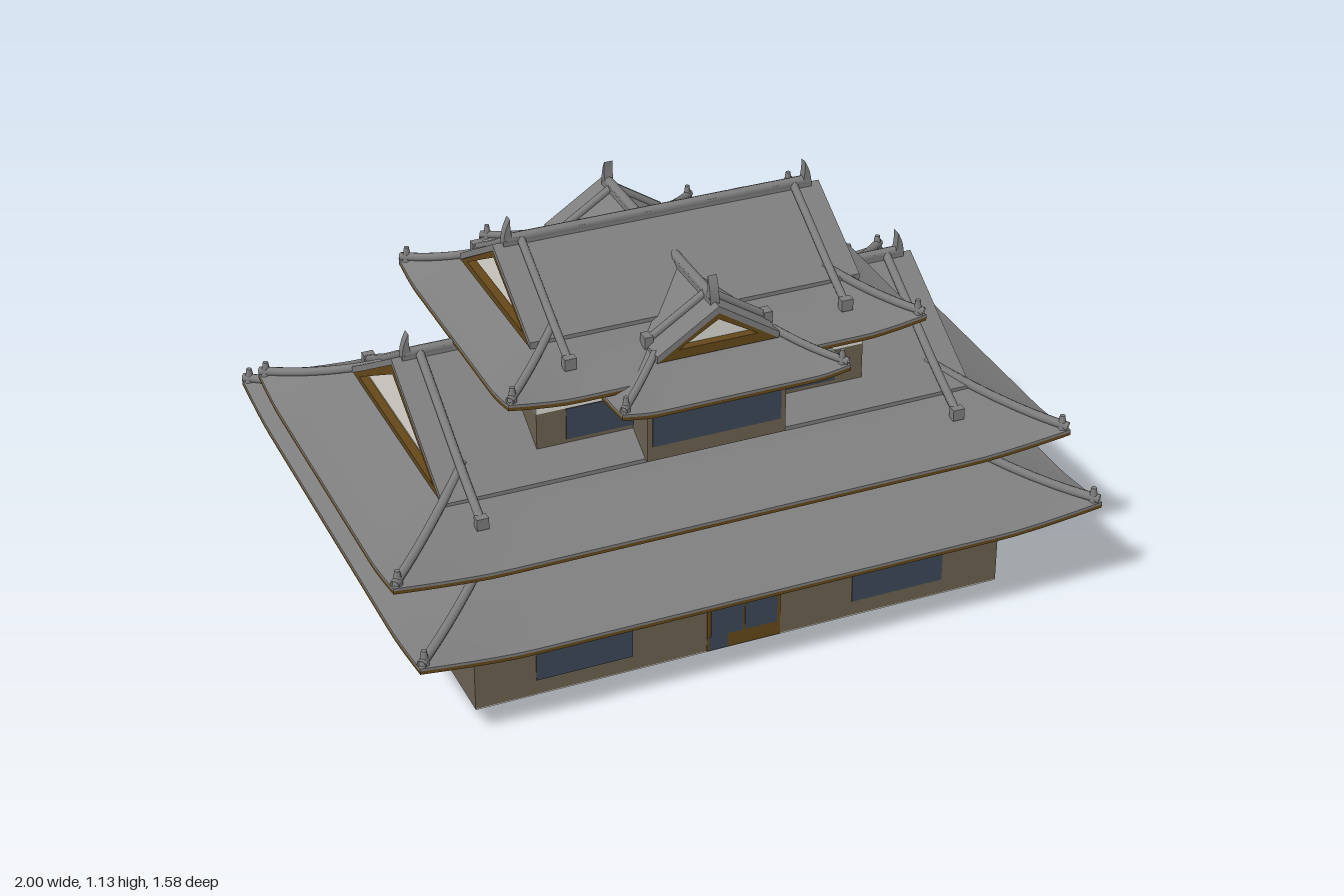
import * as THREE from 'three';

const mat = (name, color, side = THREE.FrontSide) => {
  const m = new THREE.MeshStandardMaterial({ color, side });
  m.name = name;
  return m;
};

export function createModel() {
  const root = new THREE.Group();
  root.name = 'castleKeep';
  const tile = mat('roofTile', 0x7e7e7e, THREE.DoubleSide);
  const wood = mat('darkWood', 0x644819, THREE.DoubleSide);
  const plaster = mat('plaster', 0xdedbd3, THREE.DoubleSide);
  const boards = mat('wallBoards', 0x6b6150);
  const glass = mat('windowBlue', 0x3d4757);

  const add = (parent, name, geo, m, x = 0, y = 0, z = 0) => {
    const mesh = new THREE.Mesh(geo, m);
    mesh.name = name;
    mesh.position.set(x, y, z);
    parent.add(mesh);
    return mesh;
  };
  // box given by its min and max corners
  const block = (name, m, x0, x1, y0, y1, z0, z1) =>
    add(root, name, new THREE.BoxGeometry(x1 - x0, y1 - y0, z1 - z0), m, (x0 + x1) / 2, (y0 + y1) / 2, (z0 + z1) / 2);
  // surface from a rule (u, v) -> point
  const sheet = (fn, nu, nv) => {
    const pos = [], idx = [];
    for (let j = 0; j <= nv; j++)
      for (let i = 0; i <= nu; i++) pos.push(...fn(i / nu, j / nv));
    for (let j = 0; j < nv; j++)
      for (let i = 0; i < nu; i++) {
        const a = j * (nu + 1) + i, b = a + nu + 1;
        idx.push(a, a + 1, b, a + 1, b + 1, b);
      }
    const g = new THREE.BufferGeometry();
    g.setAttribute('position', new THREE.Float32BufferAttribute(pos, 3));
    g.setIndex(idx);
    g.computeVertexNormals();
    return g;
  };
  const tube = (pts, r) => new THREE.TubeGeometry(new THREE.CatmullRomCurve3(pts), 12, r, 8);
  const V = (x, y, z) => new THREE.Vector3(x, y, z);

  // four curved slopes with lifted corners, soffits, eave strips and hip ridges
  const rise = (o, t) => o.y0 + (o.y1 - o.y0) * (0.75 * t + 0.25 * t * t);
  const corner = s => Math.max(0, (Math.abs(s) - 0.7) / 0.3) ** 1.4;
  function skirt(g, o) {
    const pt = (s, t, a, b) => [s * (a - o.inset * t), rise(o, t) + o.lift * corner(s) * (1 - t) ** 2, b - o.inset * t];
    for (let k = 0; k < 4; k++) {
      const side = new THREE.Group();
      side.name = 'roofSlope';
      side.rotation.y = k * Math.PI / 2;
      g.add(side);
      const [a, b] = k % 2 ? [o.D, o.L] : [o.L, o.D];
      const slope = sheet((u, v) => pt(u * 2 - 1, v, a, b), 30, 6);
      add(side, 'roofSurface', slope, tile);
      add(side, 'soffit', slope, plaster, 0, -0.01, -0.001);
      const strip = (top, bottom) => sheet((u, v) => {
        const p = pt(u * 2 - 1, 0, a, b);
        p[1] -= v ? top : bottom;
        return p;
      }, 30, 1);
      add(side, 'eaveTiles', strip(0, 0.008), tile);
      add(side, 'eaveBoard', strip(0.008, 0.018), wood);
      const hip = [0, 0.25, 0.5, 0.75, 0.97].map(t => {
        const p = pt(1, t, a, b);
        return V(p[0] - 0.005, p[1] + 0.008, p[2] - 0.005);
      });
      add(side, 'hipRidge', tube(hip, o.r), tile);
      add(side, 'cornerFinial', new THREE.CylinderGeometry(o.r * 0.6, o.r * 1.2, 0.046, 8), tile, a - 0.018, hip[0].y + 0.01, b - 0.018);
    }
  }

  // hip-and-gable roof, ridge along x
  function gableRoof(name, o) {
    const g = new THREE.Group();
    g.name = name;
    root.add(g);
    skirt(g, o);
    const zi = o.D - o.inset;
    const height = z => z < zi ? o.yr + (o.y1 - o.yr) * z / zi : rise(o, (o.D - z) / o.inset);
    // upper slab
    const zs = [0, zi / 2, zi, o.gz];
    const top = zs.map(z => [z, height(z) + 0.012]), low = zs.map(z => [z, height(z) - 0.008]).reverse();
    const half = [...top, ...low];
    for (const d of [1, -1]) {
      const shape = new THREE.Shape(half.map(p => new THREE.Vector2(d * p[0], p[1])));
      const slab = add(g, 'gableSlope', new THREE.ExtrudeGeometry(shape, { depth: 2 * o.gx, bevelEnabled: false }), tile, -o.gx);
      slab.rotation.y = Math.PI / 2;
    }
    const base = height(o.gz) - 0.008, apex = o.yr - 0.008, tall = apex - base;
    const tri = (w, y0, y1) => [[-w, y0], [w, y0], [0, y1]].map(p => new THREE.Vector2(...p));
    for (const e of [1, -1]) {
      // gable end: plaster field inside a wooden frame
      const end = new THREE.Group();
      end.name = 'gableEnd';
      end.rotation.y = e * Math.PI / 2;
      g.add(end);
      const frame = new THREE.Shape(tri(o.gz, base, apex));
      const [fw, fb, ft] = o.frame;
      frame.holes.push(new THREE.Path(tri(o.gz * fw, base + tall * fb, apex - tall * ft)));
      add(end, 'gableFrame', new THREE.ExtrudeGeometry(frame, { depth: 0.025, bevelEnabled: false }), wood, 0, 0, o.gx - 0.027);
      add(end, 'gablePlaster', new THREE.ShapeGeometry(new THREE.Shape(tri(o.gz * 0.97, base, apex - 0.01))), plaster, 0, 0, o.gx - 0.03);
      // descending ridges
      for (const d of [1, -1]) {
        const x = e * (o.gx - 0.08);
        const pts = [0, 0.35, 0.7, 1].map(t => V(x, height(t * o.foot) + 0.02, d * t * o.foot));
        add(g, 'gableRidge', tube(pts, o.r), tile);
        add(g, 'ridgeFoot', new THREE.BoxGeometry(0.034, 0.034, 0.025), tile, x, pts[3].y, pts[3].z);
      }
      // curved ridge-end ornament
      const hook = new THREE.Shape();
      hook.moveTo(-0.016, 0);
      hook.lineTo(0.014, 0);
      hook.quadraticCurveTo(0.016, 0.04, -0.006, 0.08);
      hook.quadraticCurveTo(-0.004, 0.04, -0.016, 0);
      const fin = add(g, 'ridgeOrnament', new THREE.ExtrudeGeometry(hook, { depth: 0.026, bevelEnabled: false }), tile,
        e * (o.gx - 0.042), o.yr + 0.003, -e * 0.013);
      if (e < 0) fin.rotation.y = Math.PI;
    }
    const len = 2 * (o.gx - 0.04);
    add(g, 'ridgeBase', new THREE.BoxGeometry(len, 0.03, 0.026), tile, 0, o.yr + 0.01, 0);
    const cap = add(g, 'ridgeCap', new THREE.CylinderGeometry(0.015, 0.015, len + 0.01, 8), tile, 0, o.yr + 0.02, 0);
    cap.rotation.z = Math.PI / 2;
    return g;
  }

  // walls: upper bands are grey or plaster by side (+x, -x, top, bottom, front, back)
  const greyFront = [tile, tile, plaster, plaster, tile, plaster];
  const greySides = [tile, tile, plaster, plaster, plaster, plaster];
  block('foundation', plaster, -0.784, 0.784, 0, 0.006, -0.594, 0.594);
  block('groundBoards', boards, -0.785, 0.785, 0.004, 0.225, -0.595, 0.595);
  block('groundBand', greyFront, -0.785, 0.785, 0.225, 0.36, -0.595, 0.595);
  block('middleWall', plaster, -0.7, 0.7, 0.38, 0.45, -0.5, 0.5);
  block('upperBoards', boards, -0.485, 0.485, 0.56, 0.69, -0.305, 0.305);
  block('upperBand', greySides, -0.485, 0.485, 0.69, 0.845, -0.305, 0.305);
  block('bayBoards', boards, -0.205, 0.205, 0.53, 0.69, -0.405, 0.405);
  block('bayBand', greyFront, -0.205, 0.205, 0.69, 0.81, -0.405, 0.405);

  // windows as thin plates
  const pane = (x0, x1, y0, y1, z) => block('window', glass, x0, x1, y0, y1, z - 0.003, z + 0.003);
  for (const d of [1, -1]) {
    const [a, b] = d > 0 ? [0.33, 0.61] : [-0.61, -0.33];
    pane(a, b, 0.05, 0.224, 0.595);
    const [c, e] = d > 0 ? [0.46, 0.75] : [-0.75, -0.46];
    pane(c, e, 0.05, 0.224, -0.595);
    for (const s of [1, -1]) {
      block('sideWindow', glass, s * 0.785 - 0.003, s * 0.785 + 0.003, 0.08, 0.224, d > 0 ? 0.19 : -0.405, d > 0 ? 0.405 : -0.19);
      pane(d > 0 ? 0.2 : -0.4, d > 0 ? 0.4 : -0.2, 0.594, 0.689, s * 0.305);
    }
    pane(-0.19, 0.19, 0.575, 0.689, d * 0.405);
  }
  pane(0, 0.3, 0.08, 0.224, -0.595);
  pane(-0.3, 0, 0.05, 0.2, -0.595);

  // door
  block('doorFrame', wood, -0.11, 0.11, 0.004, 0.222, 0.592, 0.598);
  for (const d of [-1, 1]) {
    const x = d * 0.051;
    block('doorPanel', glass, x - 0.048, x + 0.048, 0.05, 0.212, 0.595, 0.6);
  }
  block('doorLowerPanel', glass, -0.105, -0.05, 0.006, 0.05, 0.595, 0.6);

  // roofs
  const lower = new THREE.Group();
  lower.name = 'lowerSkirtRoof';
  root.add(lower);
  skirt(lower, { L: 0.997, D: 0.787, inset: 0.28, y0: 0.297, y1: 0.41, lift: 0.027, r: 0.013 });
  const frame = [0.79, 0.13, 0.125];
  gableRoof('mainRoof', { L: 0.997, D: 0.595, inset: 0.31, y0: 0.425, y1: 0.582, yr: 0.757, lift: 0.025, r: 0.013, gx: 0.785, gz: 0.39, foot: 0.465, frame });
  gableRoof('topRoof', { L: 0.61, D: 0.435, inset: 0.215, y0: 0.8, y1: 0.912, yr: 1.043, lift: 0.022, r: 0.012, gx: 0.485, gz: 0.27, foot: 0.35, frame });
  const bay = gableRoof('bayRoof', { L: 0.538, D: 0.332, inset: 0.16, y0: 0.77, y1: 0.845, yr: 0.957, lift: 0.014, r: 0.011, gx: 0.41, gz: 0.178, foot: 0.175, frame: [0.65, 0.24, 0.17] });
  bay.rotation.y = Math.PI / 2;

  return root;
}
